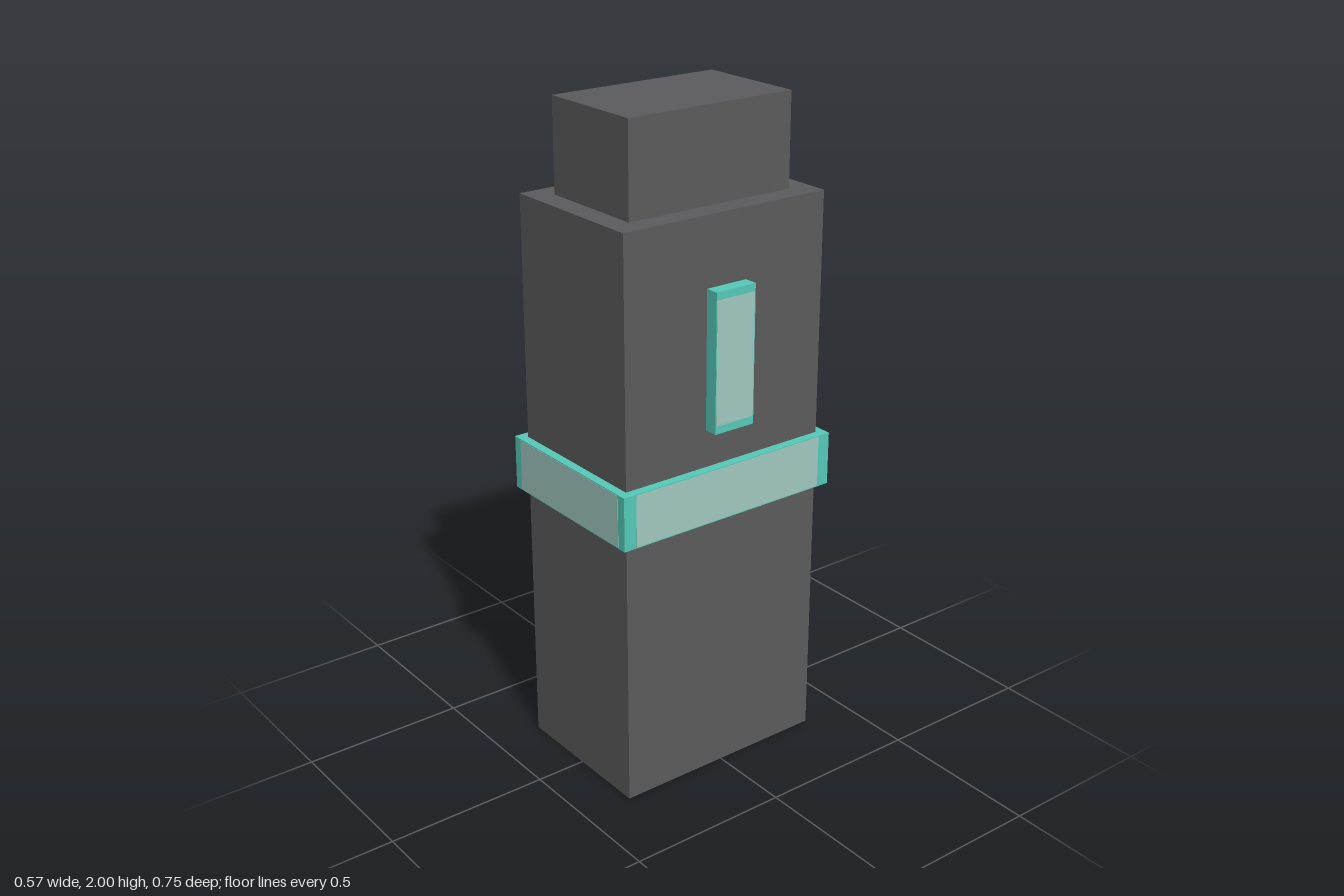
import * as THREE from 'three';

const material = (name, color) => {
  const m = new THREE.MeshStandardMaterial({ color });
  m.name = name;
  return m;
};

export function createModel() {
  const casing = material('dark grey', 0x5c5c5e);
  const trim = material('teal', 0x56cbb9);
  const glow = material('pale teal', 0xa2cac2);

  const model = new THREE.Group();
  model.name = 'tower';

  // Box given by its full width and depth, vertical range and centre
  const box = (name, mat, w, d, y0, y1, x = 0, z = 0) => {
    const mesh = new THREE.Mesh(new THREE.BoxGeometry(w, y1 - y0, d), mat);
    mesh.name = name;
    mesh.position.set(x, (y0 + y1) / 2, z);
    model.add(mesh);
  };

  // Main column and its narrower cap
  box('column', casing, 0.484, 0.69, 0, 1.725);
  box('cap', casing, 0.346, 0.552, 1.725, 2);

  // Band wrapped around the waist
  box('band', trim, 0.54, 0.744, 0.831, 0.994);

  for (const s of [-1, 1]) {
    // Pale inlays on the faces of the band
    box('bandEndInlay', glow, 0.482, 0.004, 0.834, 0.991, 0, s * 0.371);
    box('bandSideInlay', glow, 0.004, 0.662, 0.834, 0.991, s * 0.269, 0);

    // Raised side panel with a pale inlay
    box('sidePanel', trim, 0.043, 0.136, 1.106, 1.52, s * 0.262, 0);
    box('sidePanelInlay', glow, 0.004, 0.131, 1.13, 1.497, s * 0.282, 0);
  }

  return model;
}
